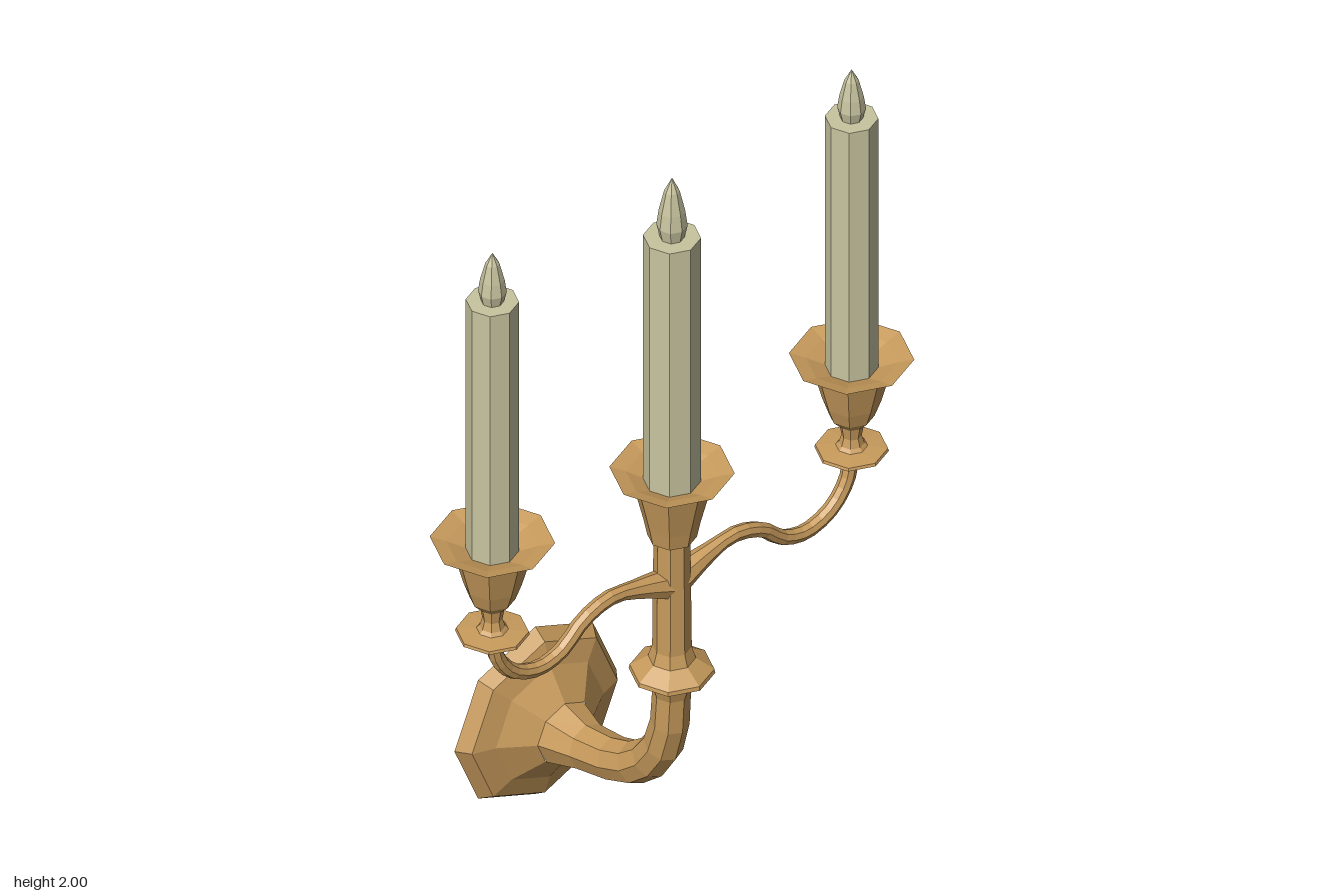
import * as THREE from 'three';

const SIDES = 8;
const Z = 0.157; // depth of the candle row

// Faceted normals for the low-poly look
function facet(geo) {
  const g = geo.index ? geo.toNonIndexed() : geo;
  g.computeVertexNormals();
  return g;
}

// Turned part from [radius, height] pairs, listed from the bottom up
function turned(profile) {
  return facet(new THREE.LatheGeometry(profile.map(([r, y]) => new THREE.Vector2(r, y)), SIDES));
}

// Tube of varying radius along a path lying in the plane normal to `side`
function sweep(points, radii, side) {
  const pos = [], idx = [], last = points.length - 1;
  points.forEach((p, i) => {
    const t = points[Math.min(i + 1, last)].clone().sub(points[Math.max(i - 1, 0)]).normalize();
    const n = new THREE.Vector3().crossVectors(side, t);
    for (let j = 0; j < SIDES; j++) {
      const a = (j / SIDES) * Math.PI * 2;
      const v = p.clone().addScaledVector(n, radii[i] * Math.cos(a)).addScaledVector(side, radii[i] * Math.sin(a));
      pos.push(v.x, v.y, v.z);
      if (i < last) {
        const k = (j + 1) % SIDES, b = i * SIDES, c = b + SIDES;
        idx.push(b + j, b + k, c + j, b + k, c + k, c + j);
      }
    }
  });
  const g = new THREE.BufferGeometry();
  g.setAttribute('position', new THREE.Float32BufferAttribute(pos, 3));
  g.setIndex(idx);
  return facet(g);
}

export function createModel() {
  const group = new THREE.Group();
  group.name = 'wallCandelabra';
  const brass = new THREE.MeshStandardMaterial({ color: 0xc89b5c });
  brass.name = 'brass';
  const wax = new THREE.MeshStandardMaterial({ color: 0xc8c4a0 });
  wax.name = 'ivory wax';

  function add(name, geo, mat, x = 0, y = 0, z = 0) {
    const m = new THREE.Mesh(geo, mat);
    m.name = name;
    m.position.set(x, y, z);
    group.add(m);
  }

  // Wall plate, turned about the z axis
  const plate = turned([[0, -0.303], [0.228, -0.303], [0.205, -0.271], [0.152, -0.254], [0.077, -0.203]]);
  add('wallPlate', plate.rotateX(Math.PI / 2), brass, 0, 0.232, 0);

  // Curved neck from the wall plate up to the stem: [z, y, radius]
  const neck = [
    [-0.205, 0.232, 0.077], [-0.125, 0.238, 0.054], [-0.035, 0.259, 0.05], [0.035, 0.29, 0.049],
    [0.088, 0.335, 0.047], [0.128, 0.395, 0.045], [0.15, 0.47, 0.043], [Z, 0.575, 0.042],
  ];
  add('neck', sweep(neck.map(([z, y]) => new THREE.Vector3(0, y, z)), neck.map((p) => p[2]),
    new THREE.Vector3(1, 0, 0)), brass);

  // Stem with collar, ending in the middle cup
  add('stem', turned([
    [0.042, 0.555], [0.05, 0.58], [0.094, 0.612], [0.092, 0.622], [0.052, 0.65], [0.043, 0.68],
    [0.04, 0.98],
  ]), brass, 0, 0, Z);
  add('middleCup', turned([
    [0.038, 0.975], [0.054, 0.98], [0.062, 1.02], [0.09, 1.135], [0.102, 1.145], [0.136, 1.158],
    [0.1, 1.148], [0.058, 1.13],
  ]), brass, 0, 0, Z);

  // Candle with its flame-shaped tip
  function candle(name, x, bottom, top, r, tip) {
    add(name + 'Candle', turned([[0, bottom], [r, bottom], [r, top], [0, top]]), wax, x, 0, Z);
    const h = tip - top, f = r * 0.54;
    add(name + 'Flame', turned([
      [f * 0.8, top], [f, top + h * 0.2], [f * 0.85, top + h * 0.45],
      [f * 0.5, top + h * 0.78], [0, tip],
    ]), wax, x, 0, Z);
  }
  candle('middle', 0, 1.1, 1.795, 0.063, 1.955);

  // Side arms, drip pans, cups and candles, mirrored
  for (const [name, s] of [['left', 1], ['right', -1]]) {
    const curve = new THREE.CatmullRomCurve3([
      [0.02, 0.858], [0.09, 0.88], [0.175, 0.897], [0.25, 0.873], [0.31, 0.822], [0.375, 0.805],
      [0.445, 0.83], [0.49, 0.885], [0.506, 0.95],
    ].map(([x, y]) => new THREE.Vector3(s * x, y, Z)));
    const path = curve.getPoints(20);
    const radii = path.map((p, i) => (i < 4 ? 0.035 - i * 0.0045 : 0.018));
    add(name + 'Arm', sweep(path, radii, new THREE.Vector3(0, 0, 1)), brass);

    const x = s * 0.506;
    add(name + 'DripPan', turned([
      [0.018, 0.93], [0.04, 0.94], [0.055, 0.955], [0.081, 0.966], [0.079, 0.973], [0.035, 0.977],
      [0.028, 0.985],
    ]), brass, x, 0, Z);
    add(name + 'Cup', turned([
      [0.03, 0.978], [0.022, 1.005], [0.027, 1.035], [0.05, 1.06], [0.064, 1.1], [0.088, 1.19],
      [0.102, 1.205], [0.136, 1.218], [0.1, 1.208], [0.053, 1.19],
    ]), brass, x, 0, Z);
    candle(name, x, 1.15, 1.87, 0.058, 2.0);
  }
  return group;
}
